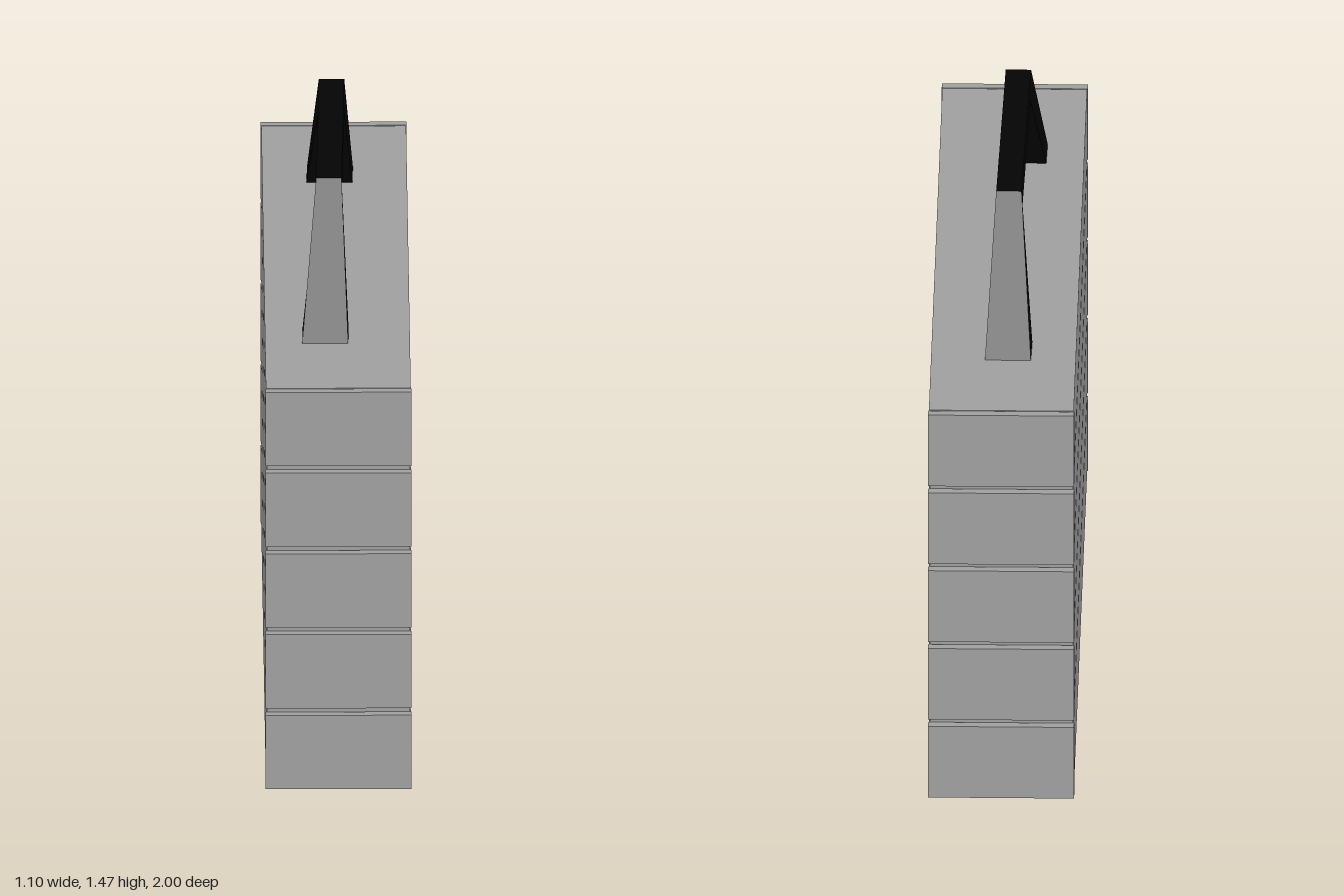
import * as THREE from 'three';

const SLATS = 5, PITCH = 0.2245, SLAT_H = 0.205, BASE = 0.01;
const WIDTH = 0.38, LENGTH = 2.0, CAP = 0.03;

function addBox(parent, name, size, pos, material) {
  const mesh = new THREE.Mesh(new THREE.BoxGeometry(...size), material);
  mesh.name = name;
  mesh.position.set(...pos);
  parent.add(mesh);
  return mesh;
}

// Angular carrying handle: a segmented bar bent into two flared legs and a grip
function handleGeometry() {
  const stations = [
    { outer: [1.11, -0.655], inner: [1.11, -0.54], width: 0.12, x: 0 },
    { outer: [1.465, -0.368], inner: [1.39, -0.335], width: 0.066, x: 0.007 },
    { outer: [1.465, 0.365], inner: [1.39, 0.335], width: 0.066, x: 0.007 },
    { outer: [1.11, 0.655], inner: [1.11, 0.54], width: 0.12, x: 0 },
  ];
  const geo = new THREE.BoxGeometry(1, 1, 3, 1, 1, 3);
  const p = geo.attributes.position;
  for (let i = 0; i < p.count; i++) {
    const s = stations[Math.round(p.getZ(i) + 1.5)];
    const [y, z] = p.getY(i) > 0 ? s.outer : s.inner;
    p.setXYZ(i, p.getX(i) * s.width + s.x, y, z);
  }
  const flat = geo.toNonIndexed();
  flat.computeVertexNormals();
  return flat;
}

export function createModel() {
  const model = new THREE.Group();
  model.name = 'slattedCase';
  const grey = new THREE.MeshStandardMaterial({ color: 0x9f9f9f, flatShading: true });
  const black = new THREE.MeshStandardMaterial({ color: 0x040404, flatShading: true });

  const bodyLength = LENGTH - 2 * CAP;
  const height = BASE + (SLATS - 1) * PITCH + SLAT_H;

  // Solid core seen in the shallow grooves and as the top and bottom
  addBox(model, 'core', [WIDTH - 0.008, height, bodyLength], [0, height / 2, 0], grey);

  // Horizontal boards on the long sides and on the two ends
  for (let i = 0; i < SLATS; i++) {
    const y = BASE + i * PITCH + SLAT_H / 2;
    for (const side of [-1, 1]) {
      addBox(model, 'sideBoard', [0.01, SLAT_H, bodyLength],
        [side * (WIDTH / 2 - 0.0065), y, 0], grey);
      addBox(model, 'endBoard', [WIDTH, SLAT_H, CAP - 0.004],
        [0, y, side * (LENGTH / 2 - CAP / 2 + 0.002)], grey);
    }
  }

  // Handle, set slightly askew, with a small catch under one end of the grip
  const handle = new THREE.Group();
  handle.name = 'handle';
  handle.position.set(-0.022, 0, -0.014);
  handle.rotation.y = THREE.MathUtils.degToRad(-0.9);
  const bar = new THREE.Mesh(handleGeometry(), black);
  bar.name = 'handleBar';
  handle.add(bar);
  addBox(handle, 'handleCatch', [0.06, 0.03, 0.08], [0.007, 1.39, 0.295], black);
  model.add(handle);

  // The case stands turned on its vertical axis
  model.rotation.y = THREE.MathUtils.degToRad(-21.8);
  const group = new THREE.Group();
  group.name = 'model';
  group.add(model);
  return group;
}
